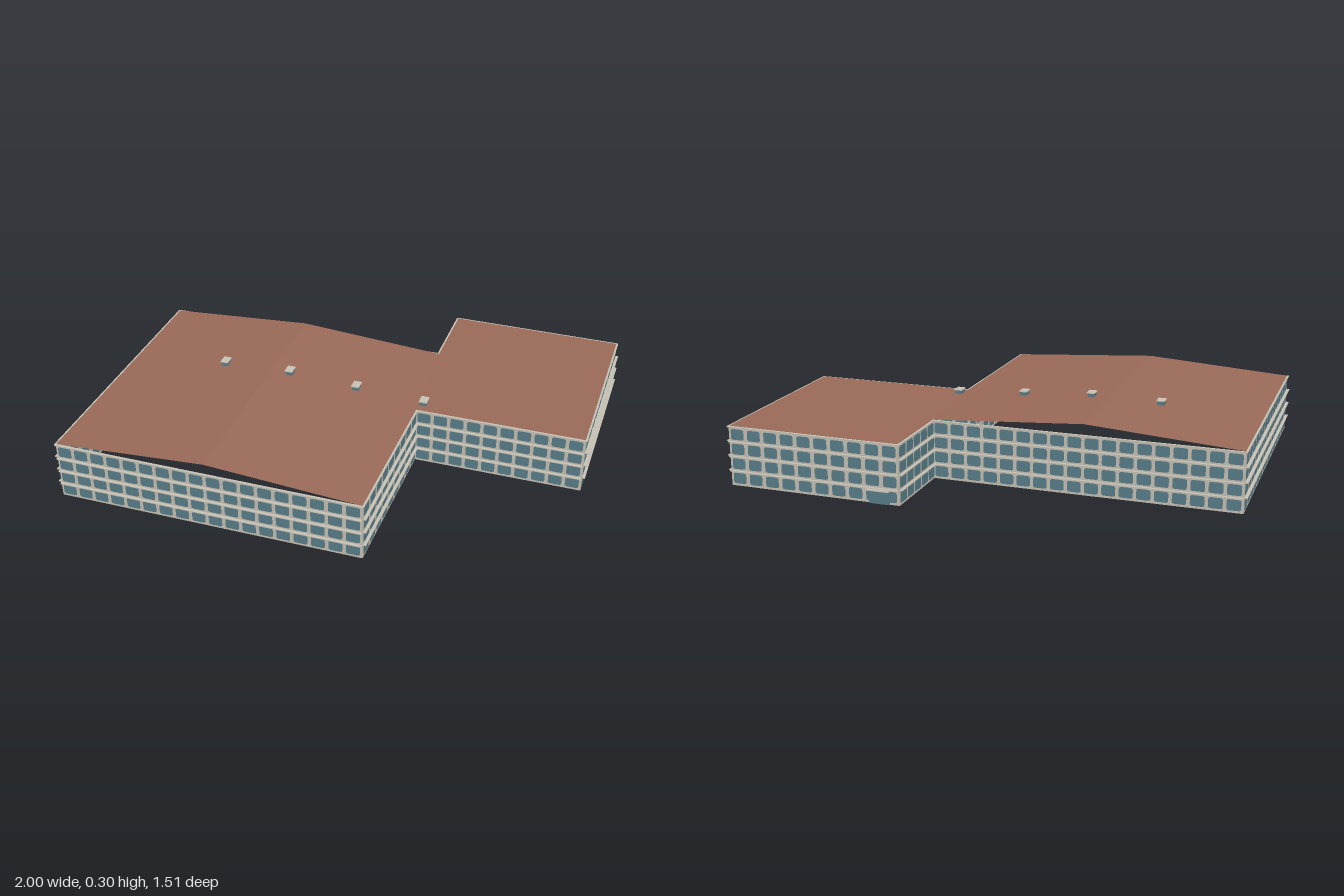
import * as THREE from 'three';

const WALL_H = 0.243, FLOOR = 0.06;

export function createModel() {
  const building = new THREE.Group();
  building.name = 'building';
  const paint = (name, color, side = THREE.FrontSide) => {
    const m = new THREE.MeshStandardMaterial({ color, side });
    m.name = name;
    return m;
  };
  const plaster = paint('plaster', 0xcac5b8);
  const glass = paint('glass', 0x5b808c);
  const roofing = paint('roofing', 0x9c6b5a, THREE.DoubleSide);

  const add = (parent, name, geometry, material, x = 0, y = 0, z = 0) => {
    const mesh = new THREE.Mesh(geometry, material);
    mesh.name = name;
    mesh.position.set(x, y, z);
    parent.add(mesh);
    return mesh;
  };
  const box = (w, h, d) => new THREE.BoxGeometry(w, h, d);

  // Window outline with rounded corners
  function windowShape(cx, cy, w, h, r) {
    const s = new THREE.Shape(), x = cx - w / 2, y = cy - h / 2;
    s.moveTo(x + r, y);
    s.lineTo(x + w - r, y);
    s.quadraticCurveTo(x + w, y, x + w, y + r);
    s.lineTo(x + w, y + h - r);
    s.quadraticCurveTo(x + w, y + h, x + w - r, y + h);
    s.lineTo(x + r, y + h);
    s.quadraticCurveTo(x, y + h, x, y + h - r);
    s.lineTo(x, y + r);
    s.quadraticCurveTo(x, y, x + r, y);
    return s;
  }

  // Footprint corners [x, z] and the number of windows on the wall that starts there
  const corners = [
    [-0.986, 0.729, 18], [0.27, 0.738, 9], [0.285, 0.062, 10], [0.976, 0.068, 10],
    [0.985, -0.722, 10], [0.265, -0.732, 5], [0.261, -0.397, 18], [-0.978, -0.41, 15],
  ];

  // Walls: thin panel, windows visible on both faces, floor ledges and cornice outside
  corners.forEach(([ax, az, count], i) => {
    const [bx, bz] = corners[(i + 1) % corners.length];
    const length = Math.hypot(bx - ax, bz - az);
    const wall = new THREE.Group();
    wall.name = 'wall' + (i + 1);
    wall.position.set((ax + bx) / 2, 0, (az + bz) / 2);
    wall.rotation.y = Math.atan2(az - bz, bx - ax);
    building.add(wall);

    add(wall, 'wallPanel', box(length, WALL_H, 0.005), plaster, 0, WALL_H / 2, 0);

    const pitch = length / count, shapes = [];
    for (let row = 0; row < 4; row++) {
      for (let k = 0; k < count; k++) {
        shapes.push(windowShape(-length / 2 + pitch * (k + 0.5), 0.031 + row * FLOOR, 0.055, 0.043, 0.009));
      }
    }
    const panes = new THREE.ExtrudeGeometry(shapes, { depth: 0.008, bevelEnabled: false, curveSegments: 3 });
    add(wall, 'windows', panes, glass, 0, 0, -0.004);

    for (let f = 1; f <= 3; f++) {
      add(wall, 'floorLedge', box(length, 0.004, 0.014), plaster, 0, f * FLOOR + 0.001, 0.0075);
    }
    add(wall, 'cornice', box(length + 0.01, 0.005, 0.009), plaster, 0, WALL_H - 0.0025, 0.003);
  });

  // Roof sheet: two shallow slopes over the main block with open gables, flat over the wing
  const points = corners.flatMap(([x, z]) => [x, WALL_H + 0.001, z]);
  points.push(-0.36, 0.286, 0.733, -0.36, 0.286, -0.403);
  const FRONT = 8, BACK = 9;
  const roof = new THREE.BufferGeometry();
  roof.setAttribute('position', new THREE.Float32BufferAttribute(points, 3));
  roof.setIndex([
    0, FRONT, BACK, 0, BACK, 7,
    FRONT, 1, 2, FRONT, 2, BACK, 2, 6, BACK,
    2, 3, 4, 2, 4, 6, 6, 4, 5,
  ]);
  const sheet = roof.toNonIndexed();
  sheet.computeVertexNormals();
  add(building, 'roof', sheet, roofing);

  // Row of small glazed roof vents with pale caps
  [[-0.571, 0.272], [-0.28, 0.28], [0.012, 0.261], [0.303, 0.243]].forEach(([x, y]) => {
    const vent = new THREE.Group();
    vent.name = 'roofVent';
    vent.position.set(x, y, 0.006);
    building.add(vent);
    add(vent, 'ventBody', box(0.028, 0.016, 0.04), glass, 0, 0.008, 0);
    add(vent, 'ventCap', box(0.034, 0.004, 0.046), plaster, 0, 0.018, 0);
  });

  // Back entrance with canopy
  add(building, 'entranceDoor', box(0.085, 0.052, 0.009), glass, 0.345, 0.026, -0.735);
  add(building, 'entranceCanopy', box(0.094, 0.005, 0.027), plaster, 0.345, 0.058, -0.745);

  return building;
}
